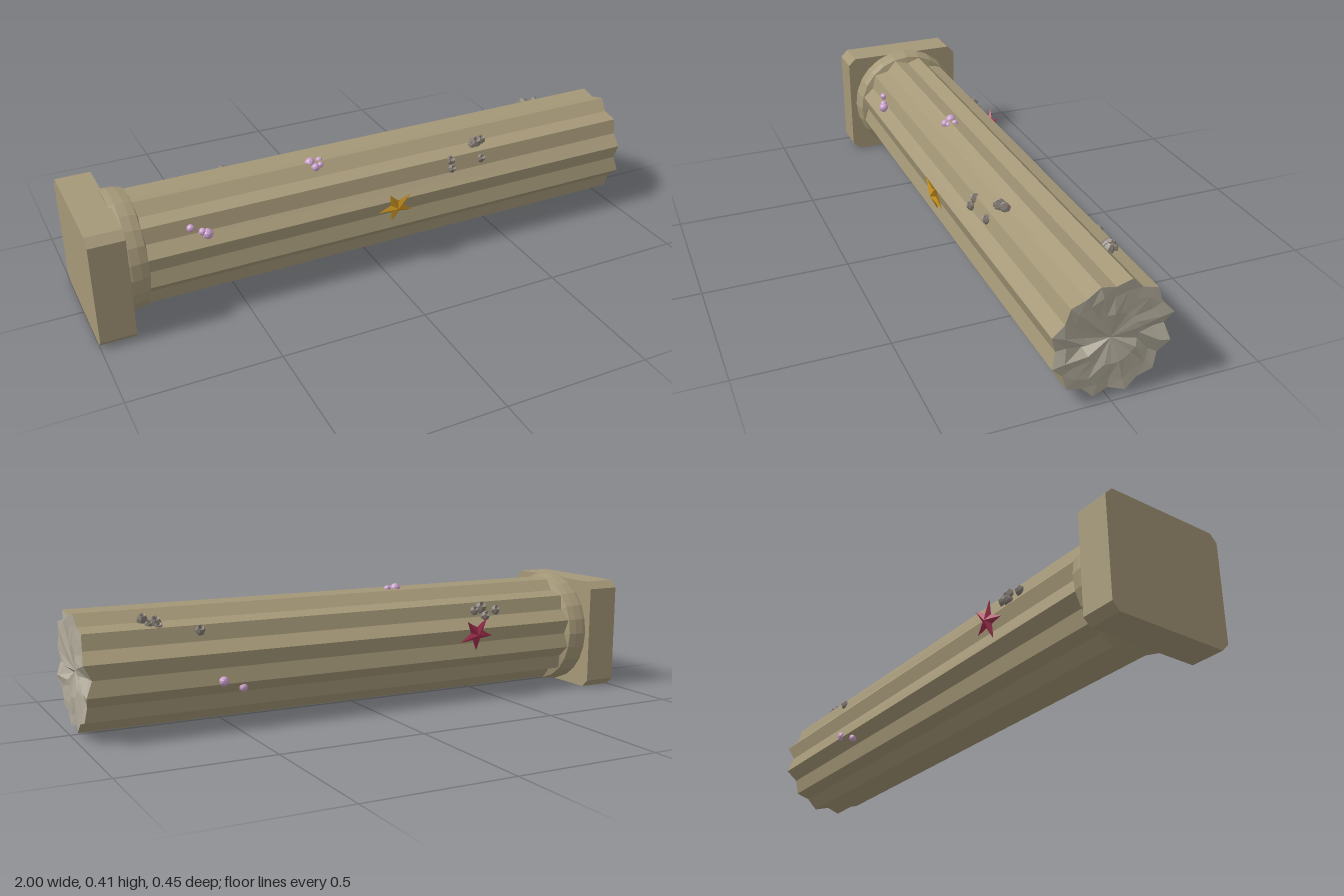
import * as THREE from 'three';

const AXIS_Y = 0.21; // height of the column's axis
const mat = (color, side = THREE.FrontSide) =>
  new THREE.MeshStandardMaterial({ color, flatShading: true, side });
const stone = mat(0xa59878);
const brokenStone = mat(0xb0aa9a);
const barnacleMat = mat(0x857d74, THREE.DoubleSide);
const pinkMat = mat(0xc9a0cb);

function add(parent, name, geometry, material) {
  const mesh = new THREE.Mesh(geometry, material);
  mesh.name = name;
  parent.add(mesh);
  return mesh;
}

// Seeded values from 0 to 1
function seeded(seed) {
  return () => (seed = (seed * 16807) % 2147483647) / 2147483647;
}

// Joins rings of equal length into a surface
function loft(rings) {
  const n = rings[0].length, index = [];
  for (let r = 0; r < rings.length - 1; r++) {
    for (let i = 0; i < n; i++) {
      const j = (i + 1) % n, a = r * n, b = a + n;
      index.push(a + i, a + j, b + j, a + i, b + j, b + i);
    }
  }
  const g = new THREE.BufferGeometry().setFromPoints(rings.flat());
  g.setIndex(index);
  const flat = g.toNonIndexed();
  flat.computeVertexNormals();
  return flat;
}

// Ring around the column axis; angle runs from up towards the front
const COUNT = 24;
function ring(xAt, radiusAt) {
  return Array.from({ length: COUNT }, (_, i) => {
    const a = (i / COUNT) * Math.PI * 2, r = radiusAt(i);
    return new THREE.Vector3(xAt(i), AXIS_Y + r * Math.cos(a), r * Math.sin(a));
  });
}

// Five-armed body with a raised middle
function starfishGeometry() {
  const g = new THREE.SphereGeometry(1, 10, 2);
  const p = g.attributes.position;
  for (let i = 0; i < p.count; i++) {
    const s = 0.068 * ((i % 11) % 2 ? 0.38 : 1);
    p.setXYZ(i, p.getX(i) * s, p.getY(i) * 0.015, p.getZ(i) * s);
  }
  g.rotateX(Math.PI / 2);
  g.rotateZ(0.18);
  return g;
}

export function createModel() {
  const model = new THREE.Group();
  const rand = seeded(77);

  // Square plinth with cut corners
  const h = 0.199, w = 0.226, c = 0.026;
  const outline = new THREE.Shape([
    [w, -h + c], [w, h - c], [w - c, h], [-w + c, h],
    [-w, h - c], [-w, -h + c], [-w + c, -h], [w - c, -h],
  ].map(([x, y]) => new THREE.Vector2(x, y)));
  const plinth = add(model, 'plinth',
    new THREE.ExtrudeGeometry(outline, { depth: 0.118, bevelEnabled: false }), stone);
  plinth.rotation.y = Math.PI / 2;
  plinth.position.set(-1, 0.204, 0);

  // Round moulding between plinth and shaft
  const profile = [[0, -0.89], [0.203, -0.89], [0.206, -0.87], [0.204, -0.84],
    [0.198, -0.815], [0.17, -0.805]].map(([r, x]) => new THREE.Vector2(r, x));
  const moulding = add(model, 'baseMoulding', new THREE.LatheGeometry(profile, 24), stone);
  moulding.rotation.z = -Math.PI / 2;
  moulding.position.y = AXIS_Y;

  // Fluted shaft: twelve ridges with a groove between each pair
  const flute = i => (i % 2 ? 0.195 : 0.175);
  const rimX = Array.from({ length: COUNT }, (_, i) => 0.996 - 0.014 * rand() - (i % 2 ? 0 : 0.008));
  rimX[18] -= 0.015;
  const rim = ring(i => rimX[i], flute);
  add(model, 'flutedShaft', loft([ring(() => -0.85, flute), rim]), stone);

  // Rough broken end, sinking a little to the middle
  const breakRings = [
    rim,
    ring(i => rimX[i] - 0.003 + 0.008 * rand(), i => flute(i) * 0.8),
    ring(i => 0.978 + 0.012 * rand() - (i === 7 ? 0.03 : 0), () => 0.085),
    ring(() => 0.974, () => 0),
  ];
  add(model, 'brokenEnd', loft(breakRings), brokenStone);

  // Starfish on the front and back
  for (const [name, x, y, z, color] of [
    ['frontStarfish', 0.05, 0.242, 0.196, 0xc9921f],
    ['backStarfish', -0.4, 0.245, -0.196, 0xa5304f],
  ]) {
    const star = add(model, name, starfishGeometry(), mat(color));
    star.position.set(x, y, z);
    star.rotation.x = 0.25 * Math.sign(z);
  }

  // Growths sit on the shaft: x, degrees from up towards the front, size
  const onShaft = (mesh, x, deg, size, radius) => {
    const a = THREE.MathUtils.degToRad(deg);
    mesh.position.set(x, AXIS_Y + radius * Math.cos(a), radius * Math.sin(a));
    mesh.rotation.x = a;
    mesh.scale.setScalar(size);
  };

  // Barnacles: hollow cones
  const shell = new THREE.LatheGeometry([[1, -0.3], [0.9, 0.4], [0.55, 1], [0.35, 0.9], [0, 0.2]]
    .map(([r, y]) => new THREE.Vector2(r, y)), 7);
  const barnacles = new THREE.Group();
  barnacles.name = 'barnacles';
  model.add(barnacles);
  for (const [x, deg, size] of [
    [0.29, 47, 0.019], [0.29, 56, 0.016], [0.41, 52, 0.017], [0.41, 33, 0.022],
    [0.435, 31, 0.018], [0.395, 35, 0.015],
    [-0.45, -50, 0.024], [-0.42, -53, 0.017], [-0.51, -54, 0.018], [-0.46, -60, 0.018],
    [0.61, -49, 0.019], [0.745, -35, 0.022], [0.78, -28, 0.018], [0.74, -41, 0.017],
    [0.765, -37, 0.015],
  ]) onShaft(add(barnacles, 'barnacle', shell, barnacleMat), x, deg, size, 0.181);

  // Small pink round growths
  const bead = new THREE.IcosahedronGeometry(1, 1);
  const beads = new THREE.Group();
  beads.name = 'pinkGrowths';
  model.add(beads);
  for (const [x, deg, size] of [
    [-0.2, 12, 0.018], [-0.165, 11, 0.012], [-0.19, 20, 0.014], [-0.17, 18, 0.011],
    [-0.61, 63, 0.018], [-0.625, 60, 0.013], [-0.66, 54, 0.013],
    [0.55, -103, 0.017], [0.48, -112, 0.014],
  ]) onShaft(add(beads, 'pinkGrowth', bead, pinkMat), x, deg, size, 0.187);

  return model;
}
